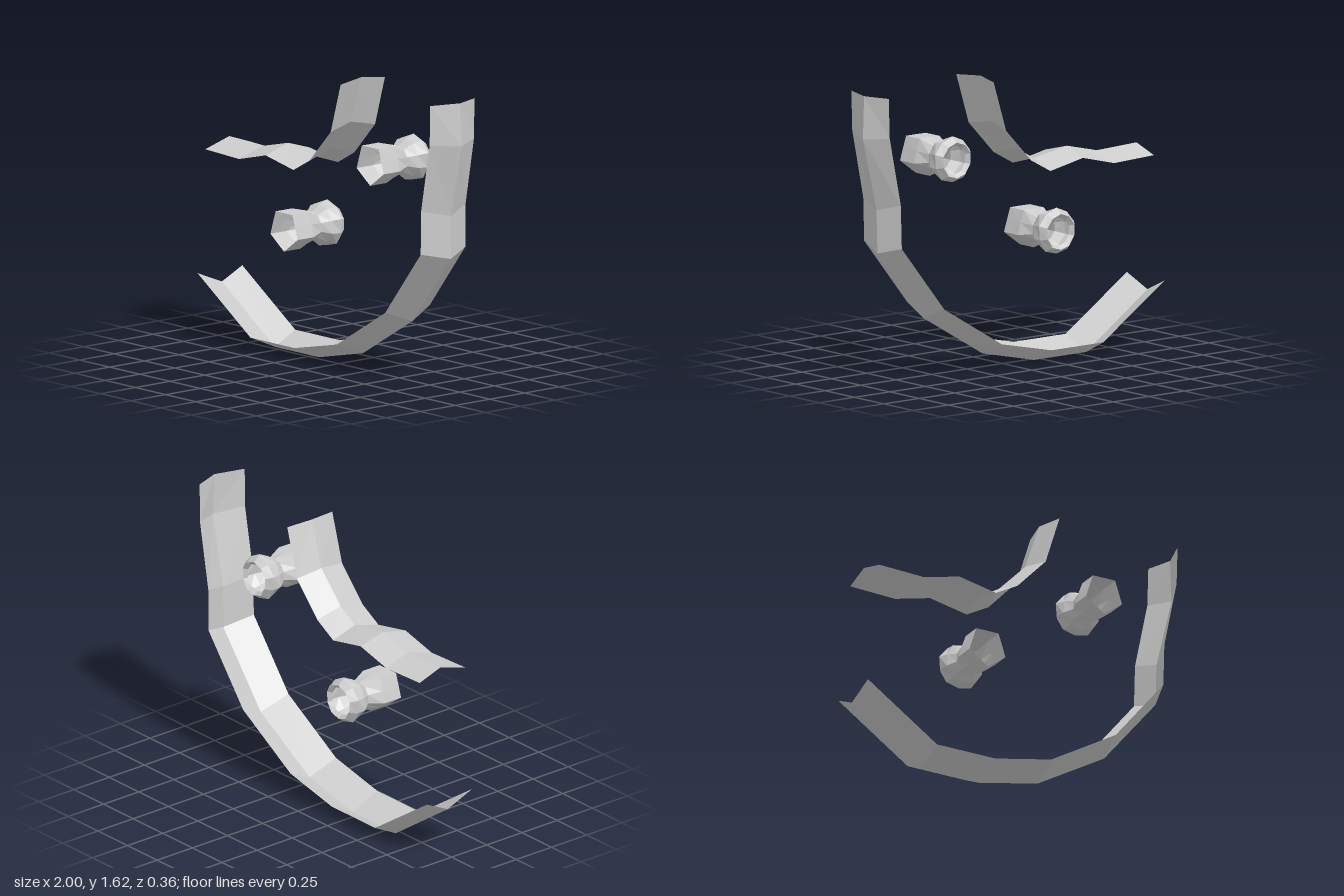
import * as THREE from 'three';

const grey = new THREE.MeshStandardMaterial({ color: 0xcccccc, flatShading: true, side: THREE.DoubleSide });
grey.name = 'plain grey';

// Joins rows of points with quads into an open faceted surface.
function loft(rows, closed, name) {
  const n = rows[0].length, index = [];
  for (let i = 0; i < rows.length - 1; i++) {
    for (let j = 0; j < (closed ? n : n - 1); j++) {
      const k = (j + 1) % n;
      const a = i * n + j, b = i * n + k, c = a + n, d = b + n;
      index.push(a, c, b, b, c, d);
    }
  }
  const geo = new THREE.BufferGeometry();
  geo.setAttribute('position', new THREE.Float32BufferAttribute(rows.flat(2), 3));
  geo.setIndex(index);
  const flat = geo.toNonIndexed();
  flat.computeVertexNormals();
  const mesh = new THREE.Mesh(flat, grey);
  mesh.name = name;
  return mesh;
}

// Folded strip: each station gives the ridge x, y and the edge x, y.
function foldedStrip(stations, name) {
  return loft(stations.map(([rx, ry, ex, ey]) => [
    [ex, ey, 0.145 + 0.008 * ey],
    [rx, ry, -0.03 + 0.01 * ry],
    [ex, ey, -0.178 + 0.01 * ey],
  ]), false, name);
}

// Hollow spool: five-sided mouth, narrow waist and a rounded rear bulb.
function spool(x, y, z, name) {
  // z, radius at the corners, radius between the corners
  const rings = [
    [0.178, 0.118, 0.096], [0.06, 0.118, 0.098], [-0.025, 0.08, 0.078],
    [-0.075, 0.118, 0.108], [-0.135, 0.124, 0.13], [-0.173, 0.098, 0.1],
    [-0.15, 0.08, 0.08],
  ];
  const rows = rings.map(([rz, r0, r1]) => Array.from({ length: 10 }, (_, i) => {
    const a = -Math.PI / 2 + i * Math.PI / 5, r = i % 2 ? r1 : r0;
    return [r * Math.cos(a), r * Math.sin(a), rz];
  }));
  const mesh = loft(rows, true, name);
  mesh.position.set(x, y, z);
  return mesh;
}

export function createModel() {
  const model = new THREE.Group();
  model.name = 'foldedStripsAndSpools';

  // Large curved strip, ridge on the outside
  model.add(foldedStrip([
    [-1, 0.295, -1, 0.365], [-0.565, 0, -0.565, 0.075], [-0.2, 0, -0.2, 0.075],
    [0.165, 0.08, 0.15, 0.15], [0.58, 0.325, 0.553, 0.39], [0.9, 0.72, 0.85, 0.76],
    [0.905, 0.96, 0.855, 1.0], [0.997, 1.36, 0.93, 1.38], [0.987, 1.6, 0.935, 1.6],
  ], 'largeStrip'));

  // Small upper strip, ridge on top
  model.add(foldedStrip([
    [-0.93, 1.115, -0.93, 1.065], [-0.65, 1.105, -0.65, 1.055], [-0.44, 1.155, -0.43, 1.11],
    [-0.205, 1.115, -0.2, 1.065], [-0.085, 1.185, -0.065, 1.14], [0.08, 1.355, 0.11, 1.325],
    [0.165, 1.615, 0.195, 1.602],
  ], 'upperStrip'));

  // Pair of spools between the strips
  model.add(spool(0.463, 1.203, 0, 'leftSpool'));
  model.add(spool(-0.262, 0.722, -0.01, 'rightSpool'));
  return model;
}
